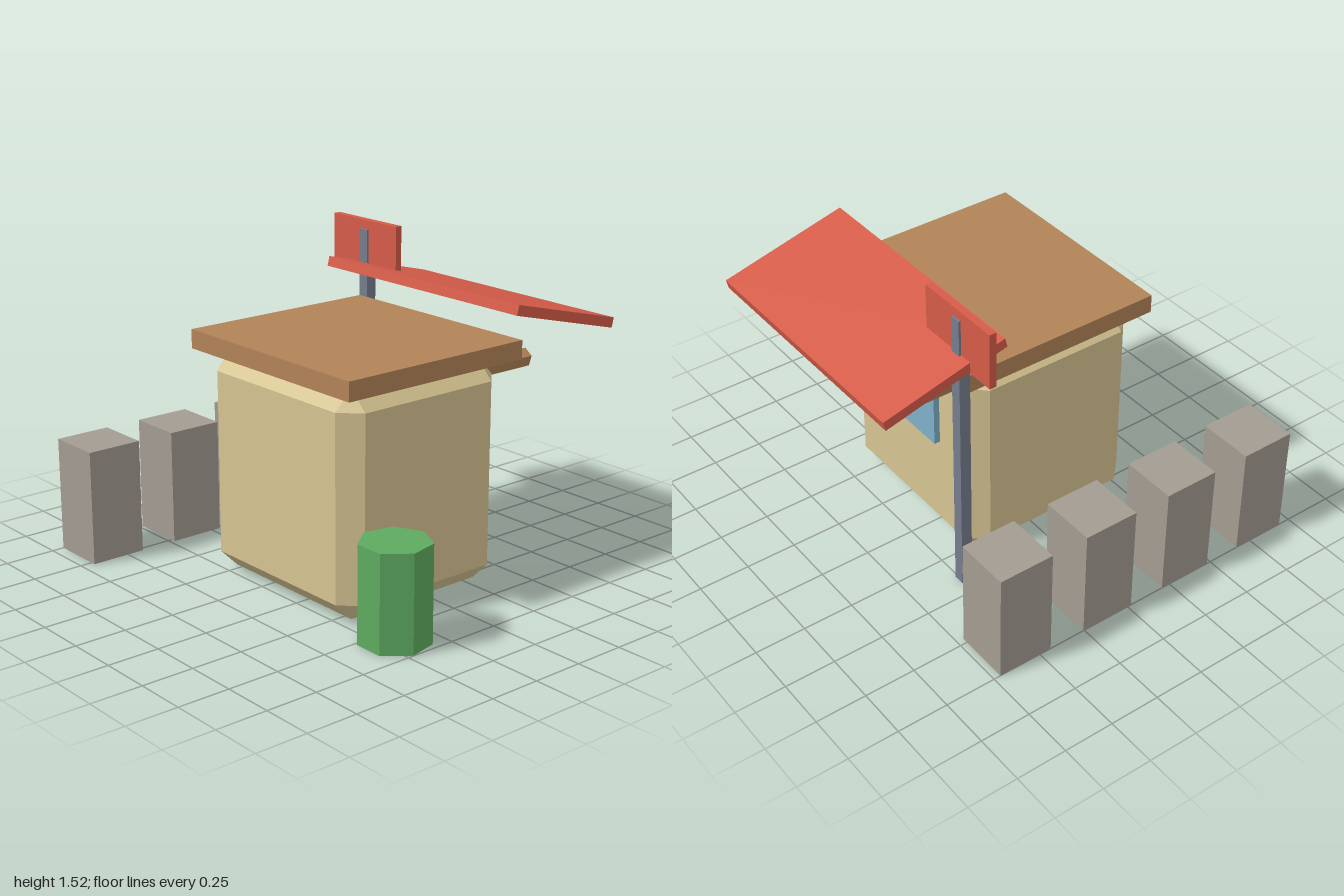
import * as THREE from 'three';
import { ConvexGeometry } from 'three/addons/geometries/ConvexGeometry.js';

const paint = (name, color) => {
  const m = new THREE.MeshStandardMaterial({ color });
  m.name = name;
  m.flatShading = true;
  return m;
};

// Box with every edge cut at 45 degrees
function chamferedBox(w, h, d, c) {
  const points = [];
  for (const sx of [-1, 1]) for (const sy of [-1, 1]) for (const sz of [-1, 1]) {
    const x = w / 2, y = h / 2, z = d / 2;
    points.push(
      new THREE.Vector3(sx * x, sy * (y - c), sz * (z - c)),
      new THREE.Vector3(sx * (x - c), sy * y, sz * (z - c)),
      new THREE.Vector3(sx * (x - c), sy * (y - c), sz * z));
  }
  return new ConvexGeometry(points);
}

export function createModel() {
  const model = new THREE.Group();
  model.name = 'roadsideHut';

  const plaster = paint('sand plaster', 0xd6c492);
  const wood = paint('brown wood', 0xb28357);
  const red = paint('red panel', 0xd65c49);
  const stone = paint('grey stone', 0xa39c92);
  const steel = paint('blue grey steel', 0x757c8c);
  const leaf = paint('green leaf', 0x5eab5f);
  const glass = paint('blue glass', 0x7fb0c9);

  const add = (name, geometry, material, x, y, z) => {
    const mesh = new THREE.Mesh(geometry, material);
    mesh.name = name;
    mesh.position.set(x, y, z);
    model.add(mesh);
    return mesh;
  };
  const box = (w, h, d) => new THREE.BoxGeometry(w, h, d);
  const midX = 0.145; // centre line of the hut

  // Hut body and flat roof slab
  add('hutBody', chamferedBox(1.01, 1.055, 0.92, 0.09), plaster, midX, 0.5375, 0.07);
  add('roofSlab', box(1.105, 0.09, 1.01), wood, midX, 1.105, 0.065);

  // Five-sided roof beams poking out at the back
  const beam = new THREE.CylinderGeometry(0.044, 0.044, 0.4, 5).rotateX(-Math.PI / 2);
  for (const i of [-1, 0, 1]) add('roofBeam', beam, wood, midX + i * 0.37, 0.996, -0.45);

  // Serving window on the back wall
  add('window', box(0.48, 0.36, 0.04), glass, midX, 0.74, -0.4);

  // Sloping canopy above the window
  add('canopy', box(1.285, 0.048, 0.64), red, midX, 1.244, -0.625).rotation.x = -0.25;

  // Sign on its post
  add('signPost', box(0.055, 1.475, 0.055), steel, -0.405, 0.7375, -0.485);
  add('signBoard', box(0.455, 0.275, 0.034), red, -0.407, 1.382, -0.485);

  // Row of stone bollards
  for (let i = 0; i < 4; i++)
    add('bollard', box(0.275, 0.555, 0.275), stone, -0.8625, 0.2775, -0.5775 + i * 0.46);

  // Seven-sided bush
  const bush = new THREE.CylinderGeometry(0.165, 0.165, 0.46, 7).rotateY(Math.PI);
  add('bush', bush, leaf, 0.838, 0.23, 0.434);

  return model;
}
